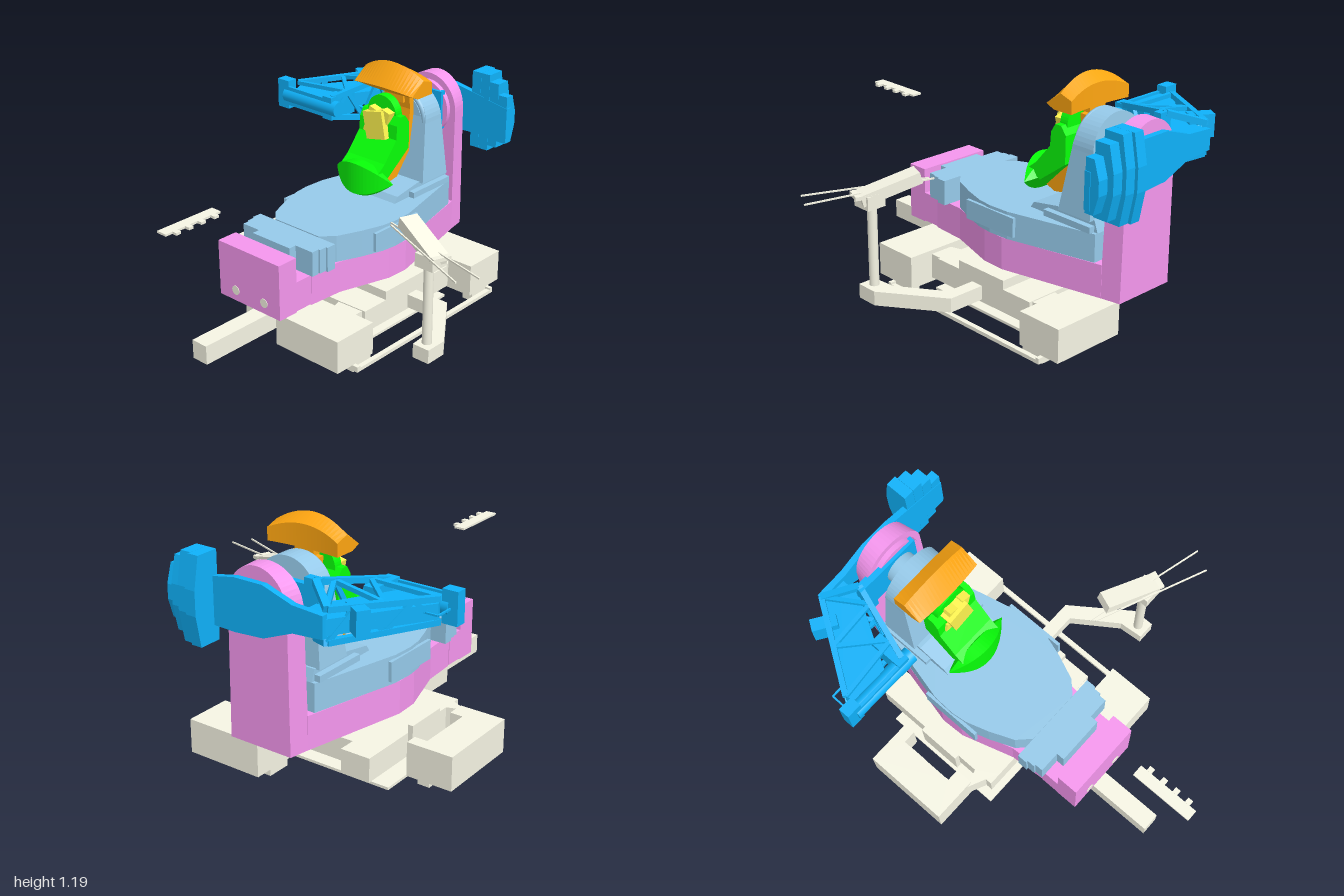
import * as THREE from 'three';

const GREY = 0xf6f5e4, PINK = 0xf596ee, STEEL = 0x96caea, BLUE = 0x0fb2fa;
const ORANGE = 0xffa611, GREEN = 0x08ff08, YELLOW = 0xfff54f;
const CX = -0.19; // centre line of the main machine

export function createModel() {
  const model = new THREE.Group();
  const mats = {};
  let group = model;

  const part = (name) => {
    group = new THREE.Group();
    group.name = name;
    model.add(group);
  };
  const add = (name, color, geo) => {
    mats[color] ??= new THREE.MeshStandardMaterial({ color, side: THREE.DoubleSide });
    const mesh = new THREE.Mesh(geo, mats[color]);
    mesh.name = name;
    group.add(mesh);
    return mesh;
  };
  const box = (name, color, x0, x1, y0, y1, z0, z1) =>
    add(name, color, new THREE.BoxGeometry(x1 - x0, y1 - y0, Math.abs(z1 - z0))
      .translate((x0 + x1) / 2, (y0 + y1) / 2, (z0 + z1) / 2));
  const cyl = (name, color, x, y, z, r, h, axis = 'y') => {
    const g = new THREE.CylinderGeometry(r, r, h, 32);
    if (axis === 'z') g.rotateX(Math.PI / 2);
    if (axis === 'x') g.rotateZ(Math.PI / 2);
    return add(name, color, g.translate(x, y, z));
  };
  // square bar between two points
  const bar = (name, color, a, b, w, h = w) => {
    const A = new THREE.Vector3(...a), B = new THREE.Vector3(...b);
    const mesh = add(name, color, new THREE.BoxGeometry(w, h, A.distanceTo(B)));
    mesh.position.copy(A).lerp(B, 0.5);
    mesh.lookAt(B);
    return mesh;
  };
  const extrude = (pts, depth, steps = 1) => new THREE.ExtrudeGeometry(
    new THREE.Shape(pts.map(([a, b]) => new THREE.Vector2(a, b))), { depth, steps, bevelEnabled: false });
  // outlines drawn as [x, z] (plan), [z, y] (side) and [x, y] (front)
  const plan = (name, color, pts, y0, y1) => add(name, color,
    extrude(pts.map(([x, z]) => [x, -z]), y1 - y0).rotateX(-Math.PI / 2).translate(0, y0, 0));
  const side = (name, color, pts, x0, x1, steps = 1) => add(name, color,
    extrude(pts.map(([z, y]) => [-z, y]), x1 - x0, steps).rotateY(Math.PI / 2).translate(x0, 0, 0));
  const front = (name, color, pts, z0, z1) => add(name, color, extrude(pts, z1 - z0).translate(0, 0, z0));
  const reshape = (mesh, rule) => {
    const p = mesh.geometry.attributes.position, v = new THREE.Vector3();
    for (let i = 0; i < p.count; i++) {
      rule(v.fromBufferAttribute(p, i));
      p.setXYZ(i, v.x, v.y, v.z);
    }
    mesh.geometry.computeVertexNormals();
  };
  const arch = (y0, half, yc, r) => {
    const pts = [[CX - half, y0], [CX + half, y0]];
    for (let i = 0; i <= 24; i++) {
      const a = Math.PI * i / 24;
      pts.push([CX + r * Math.cos(a), yc + r * Math.sin(a)]);
    }
    return pts;
  };
  // plan outline mirrored about the centre line, from [half width, z] pairs
  const symmetric = (pts) => [...pts.map(([h, z]) => [CX - h, z]),
    ...pts.map(([h, z]) => [CX + h, z]).reverse()];

  // floor frame and grey housings
  part('base');
  box('floorPlate', GREY, -0.6, 0.16, 0.012, 0.025, -0.5, 0.15);
  plan('sideHousing', GREY, [[-0.85, -0.39], [-0.62, -0.39], [-0.62, -0.33], [-0.685, -0.33],
    [-0.685, -0.04], [-0.62, -0.04], [-0.62, 0.05], [-0.85, 0.05]], 0.04, 0.205);
  plan('centralHousing', GREY, [[-0.56, -0.585], [-0.41, -0.585], [-0.41, -0.5], [0.17, -0.5],
    [0.17, 0.12], [0.02, 0.125], [-0.56, 0.125]], 0.075, 0.19);
  box('sidePlate', GREY, -0.59, -0.565, 0.07, 0.235, -0.3, -0.08);
  plan('sideBrace', GREY, [[-0.65, 0.05], [-0.56, 0.02], [-0.5, 0.12]], 0.08, 0.19);
  box('frontHousing', GREY, -0.11, 0.28, 0.04, 0.205, 0.19, 0.43);
  box('backHousing', GREY, -0.11, 0.28, 0.04, 0.205, -0.785, -0.55);
  plan('frontConnector', GREY, [[0.0, 0.1], [0.15, 0.1], [0.15, 0.2], [0.12, 0.27], [0.05, 0.27]], 0.06, 0.185);
  plan('backConnector', GREY, [[0.0, -0.48], [0.15, -0.48], [0.15, -0.53], [0.09, -0.64], [0.05, -0.64]], 0.06, 0.185);
  box('guardRail', GREY, 0.285, 0.31, 0.012, 0.03, -0.69, 0.33);
  for (const z of [-0.69, 0.32]) box('railBracket', GREY, 0.24, 0.31, 0.012, 0.04, z - 0.01, z + 0.01);
  box('crossRail', GREY, -0.7, -0.1, 0.018, 0.03, 0.02, 0.04);
  for (const [x, z] of [[-0.69, -0.3], [-0.69, -0.03], [-0.07, 0.265], [0.25, 0.265], [0.25, -0.63], [-0.07, -0.63]])
    box('foot', GREY, x - 0.03, x + 0.03, 0, 0.04, z - 0.06, z + 0.06);
  cyl('turntable', GREY, CX, 0.2, -0.17, 0.18, 0.09);
  box('turntablePlate', GREY, -0.35, 0.17, 0.19, 0.235, -0.33, -0.03);
  box('extensionBeam', GREY, -0.24, -0.15, 0.095, 0.19, 0.1, 0.83);
  box('beamMount', GREY, -0.31, -0.15, 0.095, 0.19, 0.1, 0.43);

  // separate floating strip with studs
  part('sensorStrip');
  box('strip', GREY, -0.22, -0.165, 0.795, 0.805, 0.69, 1);
  for (const z of [0.735, 0.81, 0.88, 0.95]) box('stud', GREY, -0.165, -0.14, 0.794, 0.806, z - 0.013, z + 0.013);

  // swing arm, post and slender tray
  part('tableArm');
  plan('swingArm', GREY, [[0.2, -0.22], [0.39, -0.22], [0.6, 0.07], [0.6, 0.18], [0.51, 0.18],
    [0.5, 0.06], [0.35, -0.155], [0.2, -0.155]], 0.11, 0.18);
  cyl('post', GREY, 0.55, 0.375, 0.13, 0.023, 0.39);
  box('postHead', GREY, 0.51, 0.61, 0.575, 0.64, 0.08, 0.18);
  bar('crossBeam', GREY, [0.48, 0.638, 0.09], [0.64, 0.638, 0.15], 0.09, 0.018);
  bar('trayRodBack', GREY, [0.255, 0.652, 0.04], [0.87, 0.647, 0.195], 0.007);
  bar('trayRodFront', GREY, [0.27, 0.652, 0.06], [0.82, 0.647, 0.29], 0.007);
  bar('headPanel', GREY, [0.35, 0.695, 0.04], [0.61, 0.62, 0.14], 0.09, 0.055);

  // pink lower frame with rear column
  part('lowerFrame');
  box('frontBlock', PINK, -0.39, 0.005, 0.245, 0.525, 0.405, 0.515);
  box('frontNeck', PINK, -0.39, 0.005, 0.25, 0.4, 0.31, 0.405);
  plan('beam', PINK, symmetric([[0.197, 0.31], [0.21, 0.13], [0.29, -0.13], [0.295, -0.25], [0.18, -0.76]]),
    0.245, 0.405);
  reshape(front('rearColumn', PINK, arch(0.245, 0.18, 0.885, 0.172), -0.855, -0.755), (v) => {
    if (v.z < -0.8) v.x = CX + (v.x - CX) * 0.9;
    else v.z -= 0.02 * (v.y - 0.245);
  });
  for (const s of [-1, 1]) cyl('lamp', GREY, CX + s * 0.093, 0.3, 0.515, 0.023, 0.006, 'z');
  cyl('columnRing', PINK, CX, 0.885, -0.8, 0.14, 0.11, 'z');

  // steel upper table with its own column
  part('upperTable');
  plan('tableBody', STEEL, symmetric([[0.14, 0.2], [0.2, 0.14], [0.25, 0.02], [0.285, -0.09], [0.295, -0.17],
    [0.29, -0.28], [0.185, -0.72]]), 0.405, 0.54);
  for (const [h, y0, z0, z1] of [[0.245, 0.41, 0.2, 0.25], [0.235, 0.415, 0.25, 0.29],
    [0.225, 0.41, 0.29, 0.33], [0.12, 0.415, 0.33, 0.37]])
    box('frontStep', STEEL, CX - h, CX + h, y0, 0.535, z0, z1);
  for (const s of [-1, 1]) {
    box('sidePanel', STEEL, CX + s * 0.295 - 0.008, CX + s * 0.295 + 0.008, 0.43, 0.525, -0.33, -0.02);
    box('footRail', STEEL, CX + s * 0.185 - 0.015, CX + s * 0.185 + 0.015, 0.54, 0.57, -0.7, -0.42);
  }
  side('columnFoot', STEEL, [[-0.31, 0.54], [-0.33, 0.57], [-0.48, 0.595], [-0.7, 0.595], [-0.72, 0.54]], -0.36, -0.02);
  reshape(front('frontColumn', STEEL, arch(0.59, 0.19, 0.885, 0.16), -1, 0), (v) => {
    const t = (v.y - 0.59) / 0.455;
    v.z = v.z < -0.5 ? -0.69 + 0.03 * t : -0.5 - 0.07 * t;
  });
  cyl('columnHub', STEEL, CX, 0.885, -0.58, 0.13, 0.06, 'z');
  add('columnRim', STEEL, new THREE.TorusGeometry(0.145, 0.015, 10, 40).translate(CX, 0.885, -0.56));

  // blue balancing arm: hub, stepped weights and truss
  part('balanceArm');
  front('rearYoke', BLUE, [[-0.55, 0.84], [-0.4, 0.83], [-0.25, 0.77], [-0.1, 0.76], [0.23, 0.77],
    [0.23, 0.94], [-0.1, 1.0], [-0.25, 1.0], [-0.4, 0.95], [-0.55, 0.94]], -0.89, -0.86);
  cyl('bearing', STEEL, CX, 0.89, -0.7, 0.08, 0.1, 'z');
  box('innerPlate', BLUE, -0.42, -0.08, 0.79, 0.99, -0.76, -0.73);
  [[0.69, 1.09, -1], [0.69, 1.09, -0.985], [0.72, 1.055, -0.965], [0.755, 1.0, -0.935]].forEach(([y0, y1, z], i) => {
    const inset = (y1 - y0) * 0.36;
    side('weight', BLUE, [[-0.862, y0], [-0.862, y1], [z + 0.027, y1], [z, y1 - inset], [z, y0 + inset],
      [z + 0.027, y0]], 0.012 + i * 0.054, 0.065 + i * 0.054);
  });
  plan('armBeam', BLUE, [[-0.55, -0.87], [-0.42, -0.88], [-0.42, -0.76], [-0.62, -0.4],
    [-0.78, -0.4], [-0.81, -0.47]], 0.85, 0.92);
  const root = [[-0.55, -0.86, 0.07], [-0.41, -0.75, 0.12]], tip = [[-0.81, -0.46], [-0.52, -0.4]];
  const chord = (i, top, t) => [
    THREE.MathUtils.lerp(root[i][0], tip[i][0], t),
    0.89 + (top ? 1 : -1) * THREE.MathUtils.lerp(root[i][2], 0.05, t),
    THREE.MathUtils.lerp(root[i][1], tip[i][1], t)];
  for (const top of [0, 1]) {
    for (const i of [0, 1]) bar('chord', BLUE, chord(i, top, 0), chord(i, top, 1), 0.026);
    for (let k = 0; k < 4; k++) {
      bar('lacing', BLUE, chord(k % 2, top, k / 4), chord(1 - k % 2, top, (k + 1) / 4), 0.02);
      bar('web', BLUE, chord(top, k % 2, k / 4), chord(top, 1 - k % 2, (k + 1) / 4), 0.02);
    }
    bar('rootTie', BLUE, chord(0, top, 0), chord(1, top, 0), 0.03);
  }
  front('rootPanel', BLUE, [[-0.43, 0.77], [-0.36, 0.77], [-0.36, 1.02], [-0.43, 1.02]], -0.76, -0.72);
  box('trussEnd', BLUE, -0.56, -0.5, 0.83, 0.95, -0.55, -0.375);
  cyl('endTube', BLUE, -0.65, 0.89, -0.4, 0.04, 0.36, 'x');
  box('endPlate', BLUE, -0.82, -0.5, 0.84, 0.94, -0.39, -0.375);
  box('endBlock', BLUE, -0.875, -0.8, 0.82, 0.97, -0.43, -0.375);
  bar('handle', BLUE, [-0.84, 0.89, -0.52], [-0.84, 0.89, -0.43], 0.008);
  bar('handleTop', BLUE, [-0.84, 0.89, -0.52], [-0.7, 0.89, -0.52], 0.008);
  bar('motorBox', BLUE, [-0.68, 0.91, -0.8], [-0.58, 0.91, -0.735], 0.06, 0.11);

  // orange curved bracket with domed cap
  part('outerBracket');
  reshape(side('cap', ORANGE, [[-0.395, 1.08], [-0.48, 1.188], [-0.545, 1.15], [-0.545, 1.045], [-0.44, 1.045]],
    -0.375, -0.005, 20), (v) => {
    const d = (v.x - CX) / 0.185;
    v.y -= 0.06 * d * d * (v.y - 1.045) / 0.14;
    v.z -= 0.015 * d * d;
  });
  box('capNeck', ORANGE, CX - 0.05, CX + 0.05, 0.98, 1.06, -0.545, -0.505);
  side('bracketArm', ORANGE, [[-0.515, 1.02], [-0.55, 1.02], [-0.565, 0.97], [-0.565, 0.8], [-0.545, 0.76],
    [-0.43, 0.62], [-0.37, 0.61], [-0.32, 0.63], [-0.42, 0.73], [-0.51, 0.81], [-0.525, 0.95]], -0.27, -0.11);

  // green inner arm ending in a lens-shaped fan
  part('innerArm');
  side('armBody', GREEN, [[-0.405, 0.95], [-0.44, 0.95], [-0.47, 0.91], [-0.47, 0.775], [-0.315, 0.66],
    [-0.24, 0.7], [-0.29, 0.74], [-0.375, 0.84], [-0.38, 0.91]], -0.31, -0.07);
  front('roundedTop', GREEN, arch(0.9, 0.09, 0.945, 0.09), -0.45, -0.405);
  reshape(side('fan', GREEN, [[-0.2, 0.74], [-0.2, 0.583], [-0.225, 0.57], [-0.315, 0.67], [-0.27, 0.735]],
    -0.372, -0.008, 20), (v) => {
    const d = (v.x - CX) / 0.182, s = 1.01 - d * d;
    v.y = 0.655 + (v.y - 0.655) * s;
    v.z = -0.28 + (v.z + 0.28) * s;
  });

  // yellow tilted instrument
  part('instrument');
  bar('core', YELLOW, [CX, 0.895, -0.42], [CX, 0.895, -0.345], 0.12, 0.14).rotateZ(0.2);
  for (const [x, y, w] of [[-0.06, -0.03, 0.04], [0.05, 0.05, 0.05], [0.02, -0.05, 0.05], [-0.03, 0.05, 0.05]])
    bar('module', YELLOW, [CX + x, 0.895 + y, -0.42], [CX + x, 0.895 + y, -0.365], w, w * 1.2).rotateZ(-0.3);
  return model;
}
